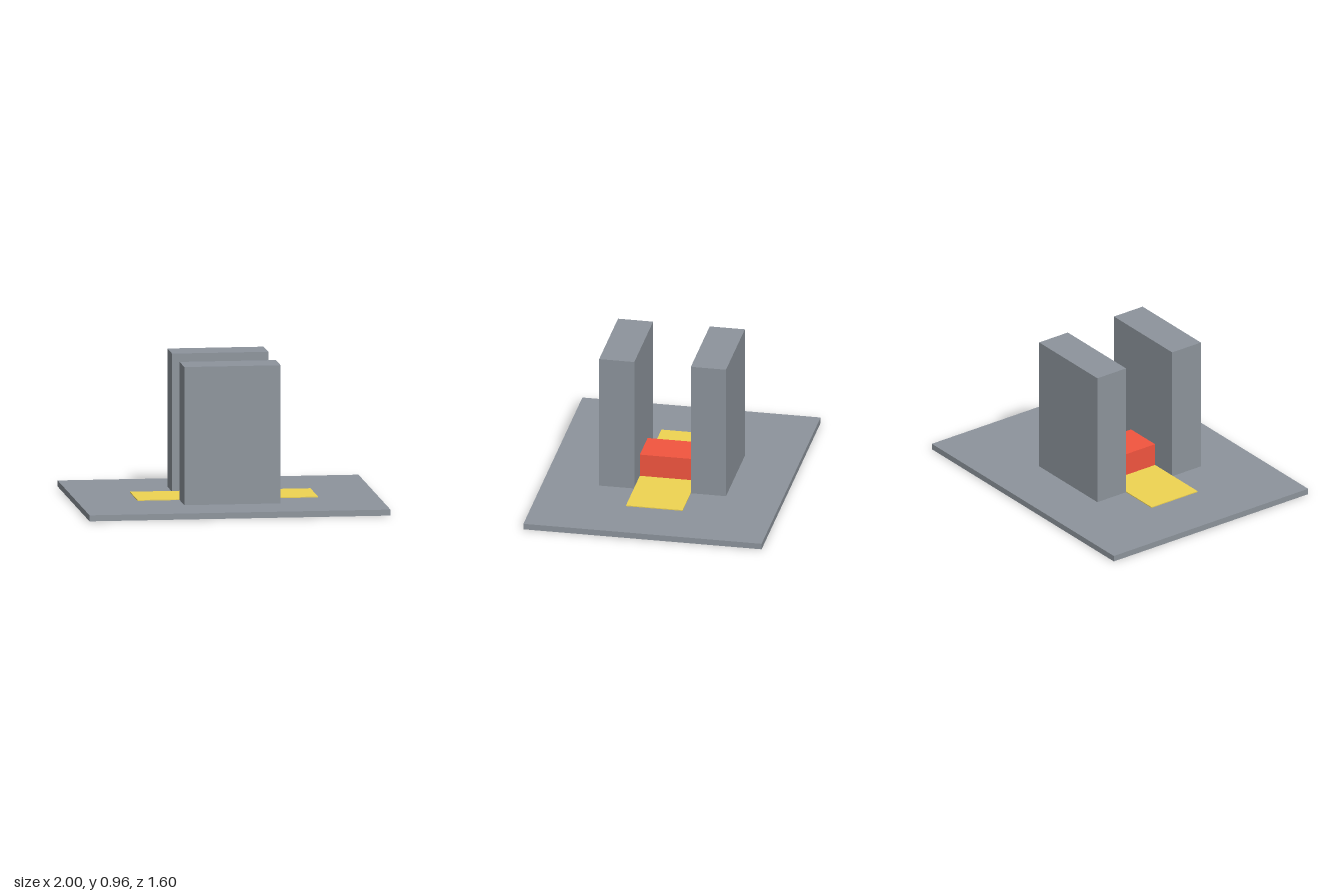
import * as THREE from 'three';

const slate = new THREE.MeshStandardMaterial({ color: 0x8d949c });
const yellow = new THREE.MeshStandardMaterial({ color: 0xf0d452 });
const red = new THREE.MeshStandardMaterial({ color: 0xf3553f });

// Box resting at height y, centred on x = 0
function block(name, material, width, height, depth, y, z = 0) {
  const mesh = new THREE.Mesh(new THREE.BoxGeometry(width, height, depth), material);
  mesh.name = name;
  mesh.position.set(0, y + height / 2, z);
  return mesh;
}

export function createModel() {
  const model = new THREE.Group();
  const baseTop = 0.04;
  const stripHeight = 0.006;
  const gap = 0.38; // clear width between the walls
  const wallDepth = 0.236;

  // Ground slab
  model.add(block('base', slate, 2, baseTop, 1.6, 0));

  // Upright walls, mirrored front and back
  for (const [name, side] of [['frontWall', 1], ['backWall', -1]]) {
    model.add(block(name, slate, 0.64, 0.92, wallDepth, baseTop, side * (gap + wallDepth) / 2));
  }

  // Thin strip running through the passage
  model.add(block('passageStrip', yellow, 1.2, stripHeight, gap, baseTop));

  // Low barrier across the strip, between the walls
  model.add(block('barrier', red, 0.264, 0.2 - baseTop - stripHeight, gap, baseTop + stripHeight));

  return model;
}
